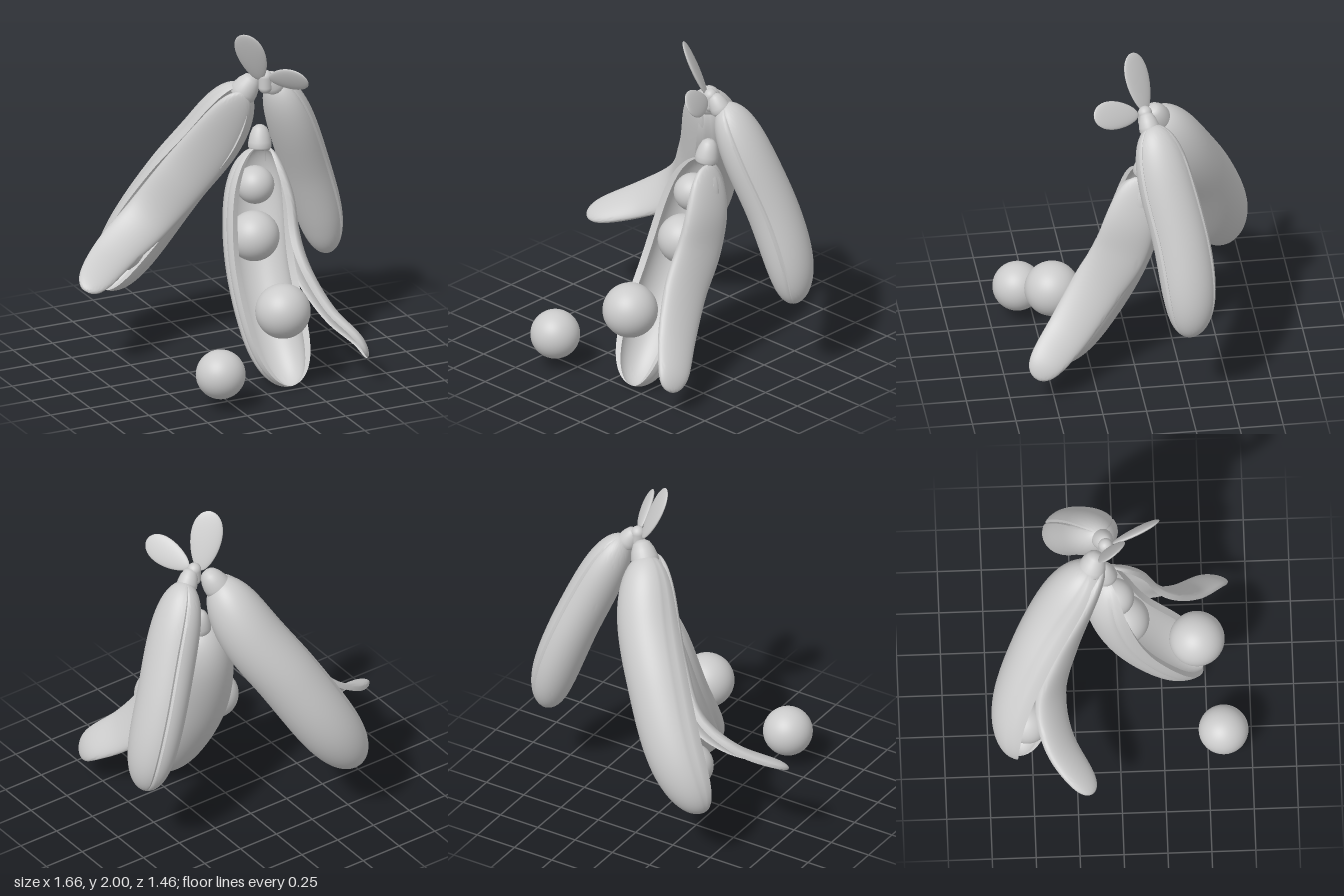
import * as THREE from 'three';
import { toCreasedNormals } from 'three/addons/utils/BufferGeometryUtils.js';

const V = (a) => new THREE.Vector3(...a);
const material = new THREE.MeshStandardMaterial({ color: 0xcccccc, roughness: 0.7, side: THREE.DoubleSide });

function add(parent, name, geometry) {
  const mesh = new THREE.Mesh(geometry, material);
  mesh.name = name;
  parent.add(mesh);
  return mesh;
}

// Sweeps a closed counter-clockwise section along a path. The section's v axis
// follows the facing vector, blended from f0 at the start to f1 at the end.
function sweep(points, section, f0, f1, width, depth, taper, rows = 56) {
  const curve = new THREE.CatmullRomCurve3(points.map(V));
  const n = section.length, pos = [], index = [];
  for (let i = 0; i <= rows; i++) {
    const t = (1 - Math.cos((Math.PI * i) / rows)) / 2;
    const p = curve.getPointAt(t), T = curve.getTangentAt(t);
    const N = V(f0).lerp(V(f1), t);
    N.addScaledVector(T, -N.dot(T)).normalize();
    const S = N.clone().cross(T);
    const k = Math.max(taper(t), 0.005);
    for (const [u, v] of section) {
      const q = p.clone().addScaledVector(S, u * width * k).addScaledVector(N, v * depth * k);
      pos.push(q.x, q.y, q.z);
    }
  }
  for (let i = 0; i < rows; i++) {
    for (let j = 0; j < n; j++) {
      const a = i * n + j, b = i * n + ((j + 1) % n);
      index.push(a, b, a + n, b, b + n, a + n);
    }
  }
  const g = new THREE.BufferGeometry();
  g.setAttribute('position', new THREE.Float32BufferAttribute(pos, 3));
  g.setIndex(index);
  return toCreasedNormals(g, 0.7);
}

// Blunt rounded ends for pods; quick start and slow narrowing for flaps
const podTaper = (t) => Math.sqrt(Math.max(0, 1 - Math.abs(2 * t - 1) ** 4));
const flapTaper = (t) => Math.sqrt(Math.max(0, (1 - (1 - t) ** 7) * (1 - t ** 24))) * (1 - 0.42 * t ** 2);

// Full round section with a narrow groove at each seam
function roundSection(seams) {
  const out = [];
  for (let j = 0; j < 72; j++) {
    const a = (j / 72) * Math.PI * 2;
    const r = seams.includes(j) ? 0.94 : 1;
    out.push([r * Math.cos(a), r * Math.sin(a)]);
  }
  return out;
}

// Hollow section: outer arc, then the inner arc back; wrap is how far each
// wall curls past the half circle
function shellSection(wrap) {
  const out = [], n = 40, a0 = Math.PI - wrap, span = Math.PI + 2 * wrap;
  for (let j = 0; j <= n; j++) {
    const a = a0 + (span * j) / n, r = j === 4 || j === n - 4 ? 0.96 : 1;
    out.push([r * Math.cos(a), r * Math.sin(a)]);
  }
  for (let j = n; j >= 0; j--) {
    const a = a0 + (span * j) / n;
    out.push([0.8 * Math.cos(a), 0.8 * Math.sin(a)]);
  }
  return out;
}

// Shallow curved strip for a peeled-back pod wall
function flapSection() {
  const out = [], n = 20;
  for (let j = 0; j <= n; j++) {
    const a = (Math.PI * j) / n;
    out.push([Math.cos(a), Math.sin(a)]);
  }
  for (let j = n; j >= 0; j--) {
    const a = (Math.PI * j) / n;
    out.push([0.92 * Math.cos(a), Math.sin(a) - 0.5]);
  }
  return out;
}

function pea(parent, name, center, r) {
  add(parent, name, new THREE.SphereGeometry(r, 40, 28)).position.set(...center);
}

// Domed cap between a pod and its stalk
function calyx(parent, base, tip, r) {
  const axis = V(tip).sub(V(base)), h = axis.length();
  const profile = [[0, -0.05], [0.85, -0.03], [1, 0.08], [0.97, 0.3], [0.84, 0.6], [0.6, 0.88], [0.3, 0.99], [0, 1]];
  const g = new THREE.LatheGeometry(profile.map(([x, y]) => new THREE.Vector2(x * r, y * h)), 32);
  const mesh = add(parent, 'calyx', g);
  mesh.position.set(...base);
  mesh.quaternion.setFromUnitVectors(new THREE.Vector3(0, 1, 0), axis.normalize());
}

// Flat oval leaf from base to tip
function leaf(parent, base, tip, normal, width) {
  const A = V(tip).sub(V(base)), len = A.length();
  A.normalize();
  const N = V(normal);
  N.addScaledVector(A, -N.dot(A)).normalize();
  const g = new THREE.SphereGeometry(1, 32, 24);
  const p = g.attributes.position;
  for (let i = 0; i < p.count; i++) {
    const y = p.getY(i), w = 1 + 0.22 * y; // broader towards the tip
    p.setXYZ(i, p.getX(i) * width * w, (y * len) / 2, p.getZ(i) * 0.018);
  }
  g.computeVertexNormals();
  const mesh = add(parent, 'leaf', g);
  mesh.quaternion.setFromRotationMatrix(new THREE.Matrix4().makeBasis(A.clone().cross(N), A, N));
  mesh.position.copy(V(base).add(V(tip)).multiplyScalar(0.5));
}

export function createModel() {
  const model = new THREE.Group();
  model.name = 'peaPods';
  const group = (name) => {
    const g = new THREE.Group();
    g.name = name;
    model.add(g);
    return g;
  };

  // Front pod, split open
  const front = group('frontOpenPod');
  add(front, 'podShell', sweep(
    [[0.22, 1.28, -0.05], [0.175, 1.0, 0.0], [0.14, 0.65, 0.115], [0.14, 0.3, 0.31], [0.165, 0.015, 0.485]],
    shellSection(0.3), [0.1, 0.1, 0.95], [0, 0.4, 0.9], 0.2, 0.195, podTaper));
  add(front, 'podFlap', sweep(
    [[0.27, 1.27, -0.03], [0.32, 1.0, 0.035], [0.325, 0.8, 0.1], [0.345, 0.6, 0.23], [0.435, 0.38, 0.4], [0.55, 0.24, 0.55], [0.58, 0.16, 0.61]],
    flapSection(), [1, 0.1, 0.1], [0.79, 0.61, 0], 0.168, 0.06, flapTaper));
  pea(front, 'pea', [0.17, 1.07, -0.01], 0.11);
  pea(front, 'pea', [0.14, 0.78, 0.04], 0.145);
  pea(front, 'pea', [0.12, 0.47, 0.455], 0.158);
  calyx(front, [0.225, 1.265, -0.06], [0.235, 1.4, -0.08], 0.068);

  // Rear pod, split open
  const rear = group('rearOpenPod');
  add(rear, 'podShell', sweep(
    [[0.155, 1.63, -0.14], [0.04, 1.3, -0.29], [-0.13, 1.0, -0.435], [-0.315, 0.67, -0.545], [-0.51, 0.35, -0.585]],
    shellSection(0.7), [-0.5, -0.1, 0.85], [-0.8, -0.05, 0.6], 0.185, 0.19, podTaper));
  add(rear, 'podFlap', sweep(
    [[0.13, 1.61, -0.08], [0.0, 1.3, -0.2], [-0.15, 1.05, -0.31], [-0.33, 0.81, -0.39], [-0.55, 0.66, -0.35], [-0.82, 0.53, -0.17]],
    flapSection(), [-0.2, 0.1, 0.95], [-0.2, 0.7, 0.6], 0.165, 0.06, flapTaper));
  pea(rear, 'pea', [-0.39, 0.6, -0.53], 0.13);
  pea(rear, 'pea', [-0.25, 0.87, -0.48], 0.125);
  pea(rear, 'pea', [-0.09, 1.13, -0.37], 0.11);
  calyx(rear, [0.15, 1.57, -0.15], [0.21, 1.69, -0.11], 0.08);

  // Closed pod
  const closed = group('closedPod');
  add(closed, 'pod', sweep(
    [[0.34, 1.66, -0.09], [0.47, 1.35, -0.15], [0.605, 1.0, -0.225], [0.7, 0.7, -0.255], [0.745, 0.475, -0.25]],
    roundSection([6, 30]), [1, 0.3, -0.1], [1, 0.3, -0.1], 0.162, 0.137, podTaper));
  calyx(closed, [0.33, 1.61, -0.08], [0.28, 1.71, -0.06], 0.06);

  // Stalk joining the pods, with two leaves
  const top = group('stalkAndLeaves');
  add(top, 'stalk', new THREE.CapsuleGeometry(0.04, 0.06, 8, 24)).position.set(0.26, 1.665, -0.06);
  leaf(top, [0.225, 1.68, -0.07], [0.1, 2.0, -0.0], [0.72, 0.35, -0.65], 0.09);
  leaf(top, [0.27, 1.69, -0.02], [0.37, 1.77, 0.25], [0.7, 0.44, -0.44], 0.08);

  // Loose pea
  pea(model, 'loosePea', [-0.34, 0.21, 0.59], 0.142);
  return model;
}
